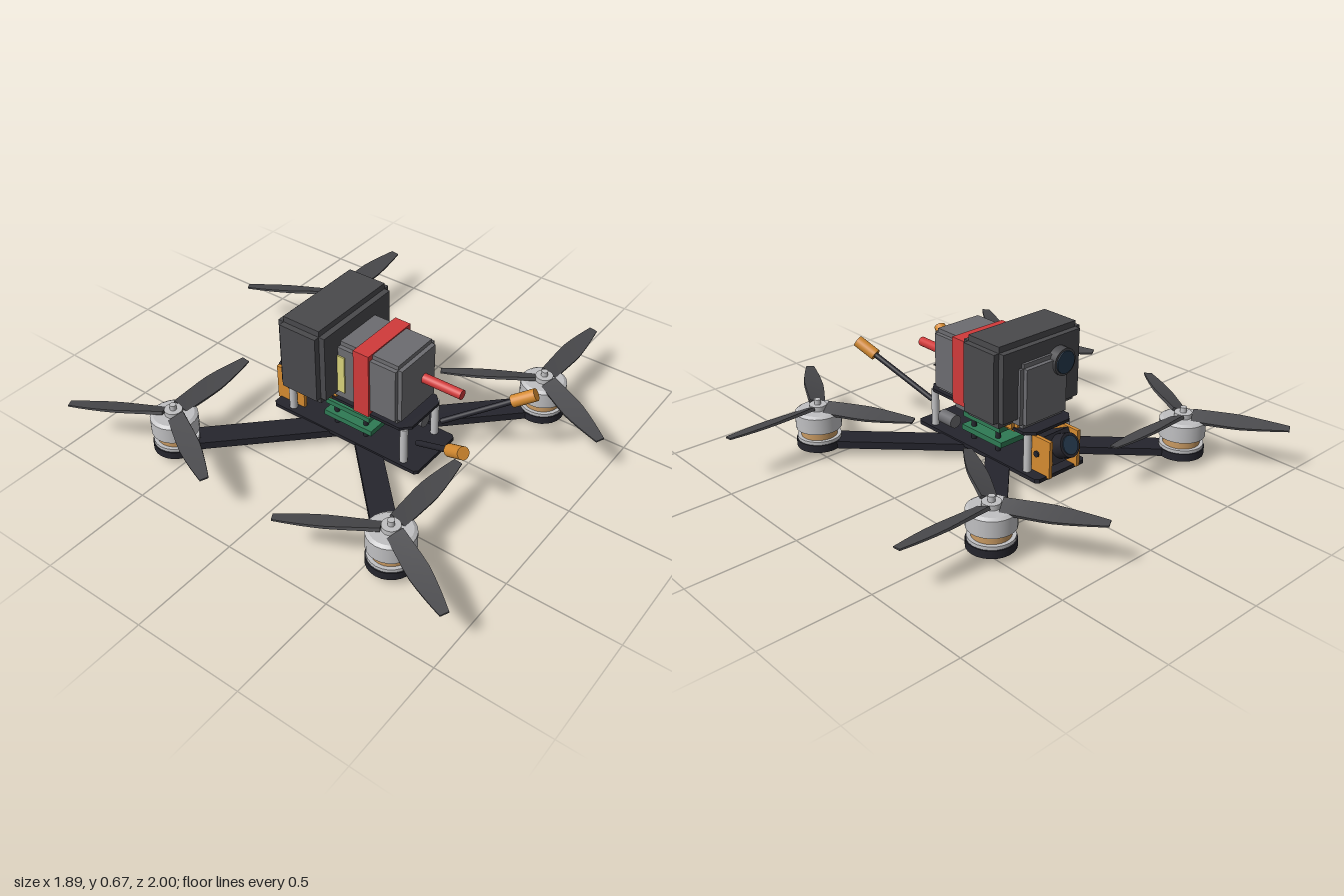
import * as THREE from 'three';

const mat = (name, color) => Object.assign(new THREE.MeshStandardMaterial({ color }), { name });

export function createModel() {
  const carbon = mat('carbon black', 0x25252d), metal = mat('light metal', 0xc0c0c2);
  const copper = mat('copper winding', 0xc99a62), dark = mat('dark grey plastic', 0x49494c);
  const grey = mat('battery grey', 0x6c6c70), red = mat('strap red', 0xd03a3a);
  const orange = mat('printed orange', 0xd48a30), green = mat('board green', 0x2e7a54);
  const yellow = mat('label yellow', 0xd8d27a), glass = mat('lens blue', 0x263a4e);

  const model = new THREE.Group();
  model.name = 'quadcopter';
  // everything is placed around the frame centre
  const body = new THREE.Group();
  body.name = 'drone';
  body.position.x = -0.11;
  model.add(body);

  const add = (name, geo, m, x = 0, y = 0, z = 0, parent = body) => {
    const mesh = new THREE.Mesh(geo, m);
    mesh.name = name;
    mesh.position.set(x, y, z);
    parent.add(mesh);
    return mesh;
  };
  const box = (name, m, w, h, d, x, y, z, parent) =>
    add(name, new THREE.BoxGeometry(w, h, d), m, x, y, z, parent);
  const cyl = (name, m, r, h, x, y, z, parent, r2 = r) =>
    add(name, new THREE.CylinderGeometry(r2, r, h, 24), m, x, y, z, parent);
  // block with stepped edges: three overlapping boxes
  const stepped = (name, m, w, h, d, r, x, y, z) => {
    const g = new THREE.Group();
    g.name = name;
    g.position.set(x, y, z);
    body.add(g);
    for (const [a, b, c] of [[0, 1, 1], [1, 0, 1], [1, 1, 0]])
      box(name + 'Block', m, w - 2 * r * a, h - 2 * r * b, d - 2 * r * c, 0, 0, 0, g);
  };
  // cylinder between two points
  const rod = (name, m, r, a, b) => {
    const dir = b.clone().sub(a), mid = a.clone().add(b).multiplyScalar(0.5);
    const mesh = cyl(name, m, r, dir.length(), mid.x, mid.y, mid.z);
    mesh.quaternion.setFromUnitVectors(new THREE.Vector3(0, 1, 0), dir.normalize());
    return mesh;
  };
  // flat plate with cut corners
  const plate = (name, w, d, h, c, y) => {
    const s = new THREE.Shape([[w - c, -d], [w, c - d], [w, d - c], [w - c, d], [c - w, d], [-w, d - c], [-w, c - d], [c - w, -d]]
      .map(([x, z]) => new THREE.Vector2(x, z)));
    const geo = new THREE.ExtrudeGeometry(s, { depth: h, bevelEnabled: false });
    add(name, geo.rotateX(-Math.PI / 2), carbon, 0, y, 0);
  };

  // twisted, tapering propeller blade along +x
  const blade = new THREE.BoxGeometry(1, 1, 1, 8, 1, 1);
  const p = blade.attributes.position;
  for (let i = 0; i < p.count; i++) {
    const t = p.getX(i) + 0.5;
    const width = t < 0.45 ? 0.075 + 0.04 * t : 0.093 - 0.055 * ((t - 0.45) / 0.55) ** 1.5;
    const pitch = 0.4 - 0.26 * t;
    const u = p.getZ(i) * width, v = p.getY(i) * (0.016 - 0.009 * t);
    p.setXYZ(i, 0.04 + 0.427 * t, v * Math.cos(pitch) - u * Math.sin(pitch), u * Math.cos(pitch) + v * Math.sin(pitch));
  }
  blade.computeVertexNormals();

  // arms, motors and propellers
  for (const sx of [-1, 1]) for (const sz of [-1, 1]) {
    const arm = box('arm', carbon, 0.826, 0.035, 0.11, sx * 0.293, 0.0525, sz * 0.293);
    arm.rotation.y = -Math.atan2(sz, sx);
    const unit = new THREE.Group();
    unit.name = 'motorUnit';
    unit.position.set(sx * 0.585, 0, sz * 0.585);
    body.add(unit);
    cyl('armPad', carbon, 0.105, 0.036, 0, 0.0525, 0, unit);
    cyl('motorBase', metal, 0.1, 0.016, 0, 0.078, 0, unit);
    cyl('stator', copper, 0.083, 0.045, 0, 0.106, 0, unit);
    cyl('motorBell', metal, 0.105, 0.075, 0, 0.163, 0, unit);
    cyl('bellCap', metal, 0.105, 0.01, 0, 0.205, 0, unit, 0.09);
    cyl('propellerHub', metal, 0.04, 0.025, 0, 0.22, 0, unit);
    cyl('shaft', metal, 0.015, 0.05, 0, 0.232, 0, unit);
    for (let k = 0; k < 3; k++)
      add('blade', blade, dark, 0, 0.217, 0, unit).rotation.y = k * Math.PI * 2 / 3;
  }

  // frame plates, centre bolt and standoffs
  plate('bottomPlate', 0.15, 0.4, 0.018, 0.015, 0.06);
  plate('topPlate', 0.14, 0.34, 0.014, 0.04, 0.255);
  cyl('boltHead', carbon, 0.05, 0.05, 0, 0.025, 0);
  cyl('boltShank', carbon, 0.025, 0.06, 0, 0.07, 0);
  for (const x of [-0.117, 0.117]) for (const z of [-0.305, 0.31])
    cyl('standoff', metal, 0.018, 0.18, x, 0.167, z);

  // electronics stack
  box('lowerBoard', green, 0.22, 0.026, 0.26, 0, 0.127, 0);
  box('upperBoard', green, 0.22, 0.024, 0.24, 0, 0.197, 0);
  for (const x of [-0.08, 0.08]) for (const z of [-0.08, 0.08])
    cyl('stackPost', carbon, 0.012, 0.17, x, 0.15, z);
  box('transmitter', grey, 0.14, 0.055, 0.17, 0, 0.208, 0.135);
  cyl('capacitor', grey, 0.032, 0.09, 0.105, 0.13, 0.225).rotation.x = Math.PI / 2;

  // battery, strap, lead and labels
  stepped('battery', grey, 0.28, 0.3, 0.595, 0.02, 0, 0.42, 0);
  box('strap', red, 0.3, 0.318, 0.08, 0, 0.417, 0.107);
  cyl('batteryLead', red, 0.022, 0.22, 0.043, 0.42, 0.38).rotation.x = Math.PI / 2;
  for (const s of [-1, 1]) box('label', yellow, 0.008, 0.185, 0.2, s * 0.143, 0.417, -0.083);

  // action camera on its mount
  stepped('actionCamera', dark, 0.51, 0.375, 0.245, 0.028, 0, 0.478, -0.143);
  stepped('actionCameraMount', orange, 0.3, 0.07, 0.215, 0.018, 0, 0.28, -0.148);
  cyl('actionLens', dark, 0.063, 0.05, -0.095, 0.53, -0.285).rotation.x = Math.PI / 2;
  cyl('actionLensGlass', glass, 0.052, 0.008, -0.095, 0.53, -0.312).rotation.x = Math.PI / 2;

  // pilot camera, tilted upward between two side plates
  for (const s of [-1, 1]) {
    box('cameraSidePlate', orange, 0.018, 0.175, 0.155, s * 0.085, 0.158, -0.338);
    cyl('cameraScrew', carbon, 0.014, 0.012, s * 0.096, 0.165, -0.34).rotation.z = Math.PI / 2;
  }
  const cam = new THREE.Group();
  cam.name = 'pilotCamera';
  cam.position.set(0, 0.165, -0.34);
  cam.rotation.x = 0.45;
  body.add(cam);
  box('cameraBody', carbon, 0.145, 0.13, 0.11, 0, 0, 0, cam);
  cyl('cameraBarrel', carbon, 0.055, 0.07, 0, 0, -0.08, cam).rotation.x = Math.PI / 2;
  cyl('cameraGlass', glass, 0.042, 0.008, 0, 0, -0.116, cam).rotation.x = Math.PI / 2;

  // splayed antennas with capped tips
  for (const [x, tip] of [[-0.085, [-0.215, 0.375, 0.665]], [0.095, [0.245, 0.405, 0.725]]]) {
    const a = new THREE.Vector3(x, 0.18, 0.36), b = new THREE.Vector3(...tip);
    const c = b.clone().lerp(a, 0.11 / a.distanceTo(b));
    rod('antennaRod', carbon, 0.013, a, c);
    rod('antennaTip', orange, 0.028, c, b);
  }
  return model;
}
